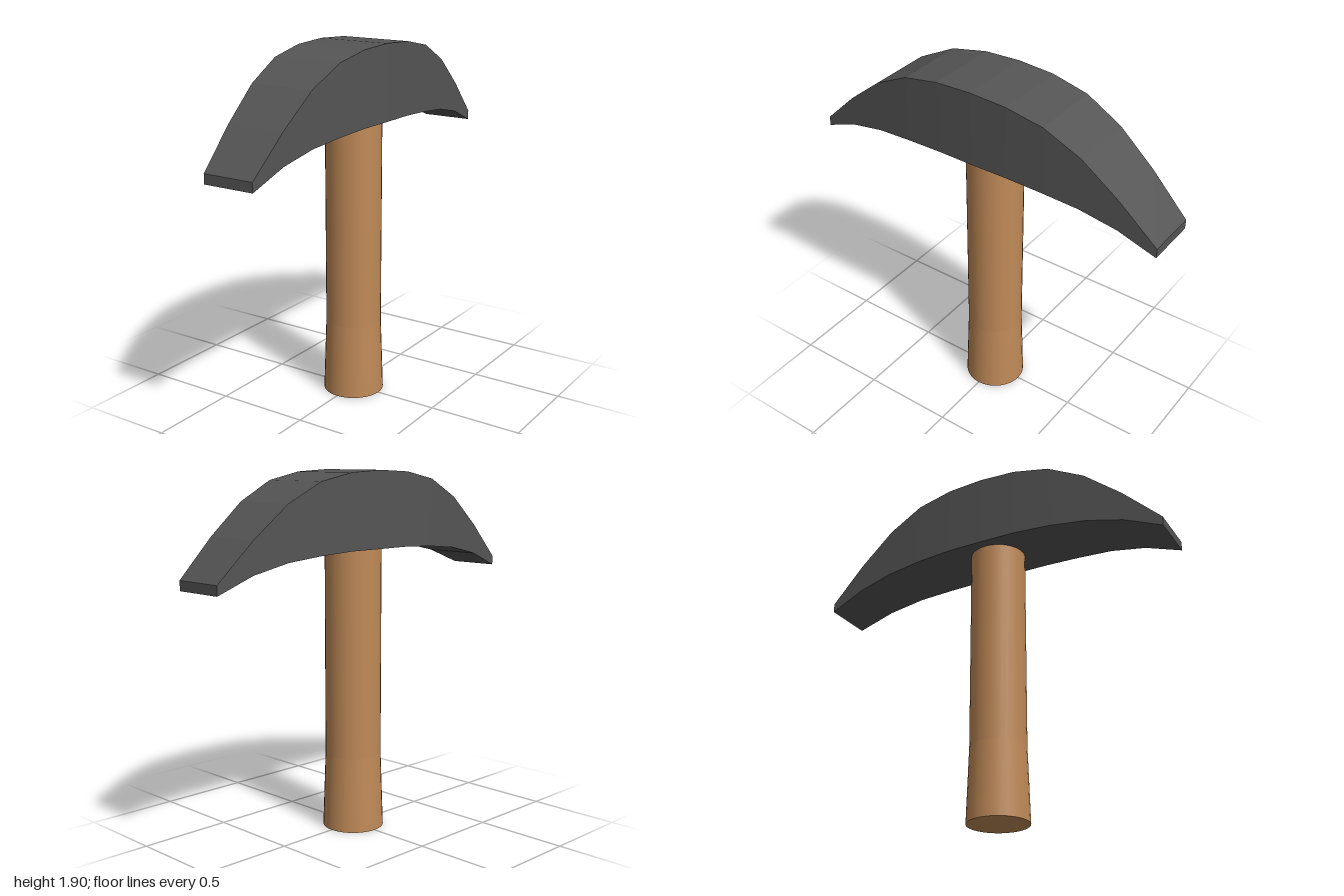
import * as THREE from 'three';

// Half of the head, from the middle out to the tip: [z, top, bottom, half width]
const HALF_HEAD = [
  [0, 1.9, 1.505, 0.2],
  [0.2, 1.89, 1.505, 0.198],
  [0.4, 1.85, 1.495, 0.19],
  [0.6, 1.75, 1.475, 0.175],
  [0.8, 1.59, 1.43, 0.158],
  [1, 1.4, 1.35, 0.14],
];

// Lofts rectangular cross-sections along z, with closed ends
function loftGeometry(sections) {
  const positions = [];
  const quad = (a, b, c, d) => positions.push(...a, ...b, ...c, ...a, ...c, ...d);
  // Corners run anticlockwise as seen from +z
  const rings = sections.map(([z, top, bottom, w]) => [
    [-w, bottom, z], [w, bottom, z], [w, top, z], [-w, top, z],
  ]);
  for (let i = 0; i < rings.length - 1; i++) {
    const back = rings[i], front = rings[i + 1];
    for (let k = 0; k < 4; k++) {
      const n = (k + 1) % 4;
      quad(back[k], back[n], front[n], front[k]);
    }
  }
  const [a, b, c, d] = rings[0];
  quad(d, c, b, a);
  quad(...rings[rings.length - 1]);
  const geometry = new THREE.BufferGeometry();
  geometry.setAttribute('position', new THREE.Float32BufferAttribute(positions, 3));
  geometry.computeVertexNormals();
  return geometry;
}

export function createModel() {
  const group = new THREE.Group();
  group.name = 'pickaxe';

  const iron = new THREE.MeshStandardMaterial({ name: 'dark iron', color: 0x555555 });
  const wood = new THREE.MeshStandardMaterial({ name: 'wood', color: 0xc08a58 });

  // Curved head, mirrored front to back
  const backHalf = HALF_HEAD.slice(1).reverse().map(([z, ...rest]) => [-z, ...rest]);
  const head = new THREE.Mesh(loftGeometry([...backHalf, ...HALF_HEAD]), iron);
  head.name = 'head';
  group.add(head);

  // Handle: straight shaft over a slightly flared grip
  const shaft = new THREE.Mesh(new THREE.CylinderGeometry(0.148, 0.148, 1.15, 32, 1, true), wood);
  shaft.name = 'shaft';
  shaft.position.y = 0.4 + 1.15 / 2;
  group.add(shaft);

  const grip = new THREE.Mesh(new THREE.CylinderGeometry(0.148, 0.162, 0.4, 32, 1, true), wood);
  grip.name = 'grip';
  grip.position.y = 0.2;
  group.add(grip);

  // Flat end of the handle
  const butt = new THREE.Mesh(new THREE.CircleGeometry(0.162, 32), wood);
  butt.name = 'handleEnd';
  butt.rotation.x = Math.PI / 2;
  group.add(butt);

  return group;
}
